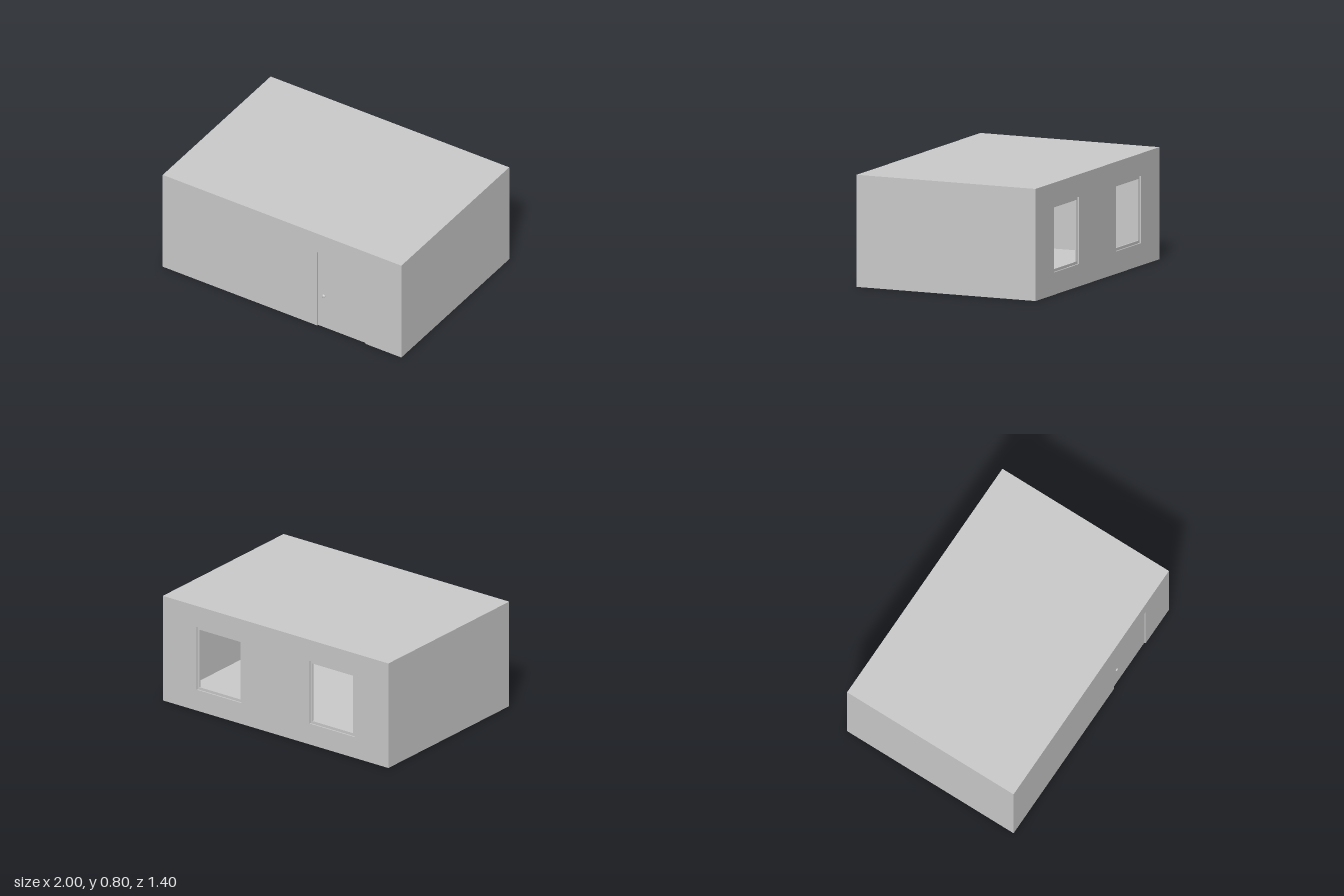
import * as THREE from 'three';

const W = 2, H = 0.8, D = 1.4, T = 0.02; // outer size and wall thickness
const material = new THREE.MeshStandardMaterial({ color: 0xcccccc });

function rectPath(path, x0, y0, x1, y1) {
  path.moveTo(x0, y0);
  path.lineTo(x1, y0);
  path.lineTo(x1, y1);
  path.lineTo(x0, y1);
  path.closePath();
  return path;
}

function add(parent, name, geometry, x = 0, y = 0, z = 0) {
  const mesh = new THREE.Mesh(geometry, material);
  mesh.name = name;
  mesh.position.set(x, y, z);
  parent.add(mesh);
  return mesh;
}

const slab = (shape, depth) => new THREE.ExtrudeGeometry(shape, { depth, bevelEnabled: false });

export function createModel() {
  const house = new THREE.Group();
  house.name = 'house';

  // Front wall, notched down to the ground for the door
  const door = { x0: 0.295, x1: 0.7, top: 0.64 };
  const front = new THREE.Shape();
  [[-W / 2, 0], [door.x0, 0], [door.x0, door.top], [door.x1, door.top],
    [door.x1, 0], [W / 2, 0], [W / 2, H], [-W / 2, H]]
    .forEach(([x, y], i) => (i ? front.lineTo(x, y) : front.moveTo(x, y)));
  front.closePath();
  add(house, 'frontWall', slab(front, T), 0, 0, D / 2 - T);

  // Back wall with two window openings
  const windows = [-0.5, 0.5], ww = 0.4, y0 = 0.16, y1 = 0.64;
  const back = rectPath(new THREE.Shape(), -W / 2, 0, W / 2, H);
  for (const x of windows) {
    back.holes.push(rectPath(new THREE.Path(), x - ww / 2, y0, x + ww / 2, y1));
  }
  add(house, 'backWall', slab(back, T), 0, 0, -D / 2);

  // Side walls, floor and flat roof close the hollow room
  const inner = D - 2 * T;
  for (const [name, s] of [['leftWall', 1], ['rightWall', -1]]) {
    add(house, name, new THREE.BoxGeometry(T, H, inner), s * (W - T) / 2, H / 2, 0);
  }
  add(house, 'floor', new THREE.BoxGeometry(W - 2 * T, T, inner), 0, T / 2, 0);
  add(house, 'roof', new THREE.BoxGeometry(W - 2 * T, T, inner), 0, H - T / 2, 0);

  // Window frames, set back a little inside their openings
  const rim = 0.02, inset = 0.01;
  for (const x of windows) {
    const frame = rectPath(new THREE.Shape(), -ww / 2, y0, ww / 2, y1);
    frame.holes.push(rectPath(new THREE.Path(), -ww / 2 + rim, y0 + rim, ww / 2 - rim, y1 - rim));
    add(house, x > 0 ? 'leftWindowFrame' : 'rightWindowFrame',
      slab(frame, T - inset), x, 0, -D / 2 + inset);
  }

  // Recessed door leaf with a small flattened knob
  const leafDepth = T - inset;
  add(house, 'door', new THREE.BoxGeometry(door.x1 - door.x0, door.top, leafDepth),
    (door.x0 + door.x1) / 2, door.top / 2, D / 2 - inset - leafDepth / 2);
  const knob = add(house, 'doorKnob', new THREE.SphereGeometry(0.013, 24, 16),
    0.343, 0.27, D / 2 - inset);
  knob.scale.z = 0.75;

  return house;
}
